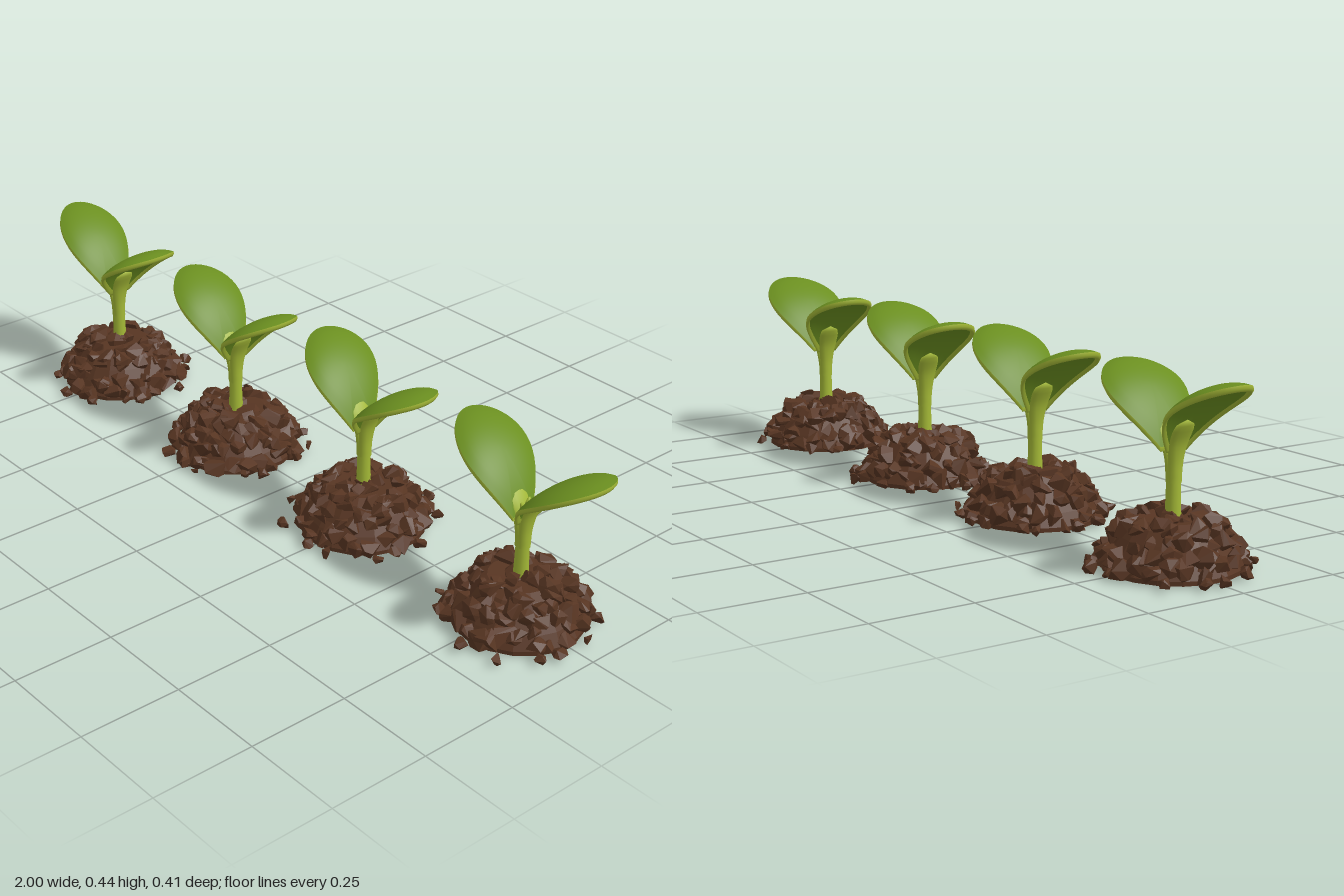
import * as THREE from 'three';
import { mergeGeometries, mergeVertices } from 'three/addons/utils/BufferGeometryUtils.js';
import { ConvexGeometry } from 'three/addons/geometries/ConvexGeometry.js';

const V = (x, y, z) => new THREE.Vector3(x, y, z);

function makeRandom(seed) {
  return () => (seed = (seed * 16807) % 2147483647) / 2147483647;
}

// Smooth surface from a rule f(u, v) sampled on a grid
function surface(f, nu, nv) {
  const pos = [], index = [];
  for (let i = 0; i <= nu; i++) {
    for (let j = 0; j <= nv; j++) {
      const p = f(i / nu, j / nv);
      pos.push(p.x, p.y, p.z);
      if (i < nu && j < nv) {
        const a = i * (nv + 1) + j, b = a + nv + 1;
        index.push(a, b, a + 1, b, b + 1, a + 1);
      }
    }
  }
  let g = new THREE.BufferGeometry();
  g.setAttribute('position', new THREE.Float32BufferAttribute(pos, 3));
  g.setIndex(index);
  g = mergeVertices(g, 1e-5);
  g.computeVertexNormals();
  return g;
}

function addMesh(parent, name, geometry, material) {
  const m = new THREE.Mesh(geometry, material);
  m.name = name;
  parent.add(m);
}

// Domed leaf with a thick pale rim, on a flaring stalk; side is +1 or -1
function makeLeaf({ side, length, tipY, midZ, width }, mats) {
  const leaf = new THREE.Group();
  leaf.name = side > 0 ? 'leftLeaf' : 'rightLeaf';
  const spine = new THREE.QuadraticBezierCurve3(
    V(0.006 * side, 0.275, 0), V(0.078 * side, 0.432, midZ * 0.8), V(length * side, tipY, midZ * 1.5));
  const halfWidth = t => width * (0.3 + 2.1 * t - 1.35 * t * t) * Math.sqrt(Math.max(0, 1 - t ** 4));

  // r runs from the middle of the blade to its outline, a runs around it
  const blade = (r, a, drop) => {
    const edgeT = (1 - Math.cos(a * 2 * Math.PI)) / 2;
    const sign = a === 0 || a === 1 ? 0 : a < 0.5 ? 1 : -1;
    const t = 0.5 + (edgeT - 0.5) * r, w = sign * halfWidth(edgeT) * r;
    const p = spine.getPoint(t);
    p.y -= 0.02 * (w / width) ** 2 + drop;
    p.z += w;
    return p;
  };
  addMesh(leaf, 'leafTop', surface((r, a) => blade(r, a, 0.006 * r ** 6), 8, 48), mats.leaf);
  addMesh(leaf, 'leafUnderside', surface((r, a) => blade(r * 0.88, a, 0.01 + 0.006 * r ** 4), 8, 48), mats.leaf);
  const rim = [[0.88, 0.016], [0.93, 0.021], [0.98, 0.02], [1.01, 0.013], [1, 0.006]];
  addMesh(leaf, 'leafRim', surface((u, a) => {
    const [r, drop] = rim[Math.round(u * 4)];
    return blade(r, a, drop);
  }, 4, 48), mats.stem);

  // Stalk widening under the base of the blade, then rounding off into it
  const under = t => spine.getPoint(t).add(V(0, -0.014, 0));
  const path = new THREE.CatmullRomCurve3(
    [V(0.003 * side, 0.19, 0), V(0.006 * side, 0.24, 0), under(0.08), under(0.27)]);
  addMesh(leaf, 'leafStalk', surface((u, v) => {
    const p = path.getPoint(u), tan = path.getTangent(u), a = v * 2 * Math.PI;
    const taper = Math.sqrt(1 - u ** 5);
    const thick = (0.015 - 0.006 * u) * taper * Math.cos(a);
    const wide = (0.016 + 0.03 * u * u) * taper * Math.sin(a);
    return p.add(V(tan.y * thick, -tan.x * thick, wide));
  }, 12, 14), mats.stem);
  return leaf;
}

// One angular clod with its underside cut flat at the ground
function makeClod(x, y, z, size, rand) {
  const points = [];
  for (let i = 0; i < 12; i++) {
    const h = rand() * 2 - 1, a = rand() * 2 * Math.PI, s = Math.sqrt(1 - h * h);
    points.push(V(s * Math.cos(a), h * 0.9, s * Math.sin(a)).multiplyScalar(size));
  }
  const g = new ConvexGeometry(points);
  g.translate(x, y, z);
  const p = g.attributes.position;
  for (let i = 0; i < p.count; i++) p.setY(i, Math.max(0, p.getY(i)));
  g.computeVertexNormals();
  return g;
}

// Heap of clods over a solid core, with loose clods around it
function makeSoil(seed, mats) {
  const rand = makeRandom(seed);
  const soil = new THREE.Group();
  soil.name = 'soilMound';
  const profile = [[0.156, 0.012], [0.14, 0.042], [0.118, 0.075], [0.098, 0.102], [0.075, 0.113], [0, 0.11]];
  const core = new THREE.LatheGeometry(
    [[0, 0.002], [0.156, 0.002], ...profile].map(([r, y]) => new THREE.Vector2(r, y)), 18).toNonIndexed();
  core.computeVertexNormals();
  addMesh(soil, 'soilCore', core, mats.soil);

  const clods = [];
  [28, 24, 20, 14, 10].forEach((count, k) => {
    const [r0, y0] = profile[k], [r1, y1] = profile[k + 1];
    for (let i = 0; i < count; i++) {
      const f = rand(), a = (i + rand() * 0.8) / count * 2 * Math.PI;
      const r = r0 + (r1 - r0) * f;
      clods.push(makeClod(r * Math.cos(a), y0 + (y1 - y0) * f, r * Math.sin(a), 0.021 + 0.014 * rand(), rand));
    }
  });
  addMesh(soil, 'soilClods', mergeGeometries(clods), mats.soil);

  const loose = [];
  for (let i = 0; i < 13; i++) {
    const a = (i + rand() * 0.8) / 13 * 2 * Math.PI, r = 0.172 + 0.023 * rand();
    loose.push(makeClod(r * Math.cos(a), 0.015, r * Math.sin(a), 0.014 + 0.006 * rand(), rand));
  }
  addMesh(soil, 'looseClods', mergeGeometries(loose), mats.soil);
  return soil;
}

function makeSprout(spec, i, mats) {
  const sprout = new THREE.Group();
  sprout.name = 'sprout' + (i + 1);
  sprout.position.x = spec.x;
  sprout.add(makeSoil(101 + i * 7919, mats));

  const stem = [[0.019, 0.1], [0.017, 0.15], [0.016, 0.2], [0.017, 0.25], [0.01, 0.285], [0, 0.29]];
  addMesh(sprout, 'stem', new THREE.LatheGeometry(stem.map(p => new THREE.Vector2(...p)), 12), mats.stem);

  // Tiny new shoots in the fork
  for (const s of [-1, 1]) {
    const bud = new THREE.SphereGeometry(1, 8, 6).scale(0.005, 0.018, 0.007);
    bud.rotateX(s * 0.4).translate(s * 0.003, 0.291, s * 0.01);
    addMesh(sprout, 'bud', bud, mats.stem);
  }
  spec.leaves.forEach(([length, tipY, midZ, width], k) =>
    sprout.add(makeLeaf({ side: k ? 1 : -1, length, tipY, midZ, width }, mats)));
  return sprout;
}

export function createModel() {
  const make = (name, color) => {
    const m = new THREE.MeshStandardMaterial({ color, side: THREE.DoubleSide });
    m.name = name;
    return m;
  };
  const mats = {
    leaf: make('leaf green', 0x6b8f20),
    stem: make('pale stem green', 0xa3b836),
    soil: make('brown soil', 0x573522),
  };
  // Each leaf: length, tip height, sideways drift, half width
  const specs = [
    { x: -0.765, leaves: [[0.235, 0.445, -0.015, 0.09], [0.205, 0.437, 0.008, 0.103]] },
    { x: -0.248, leaves: [[0.223, 0.437, -0.013, 0.092], [0.21, 0.443, 0.012, 0.101]] },
    { x: 0.247, leaves: [[0.217, 0.438, -0.03, 0.096], [0.223, 0.438, 0.014, 0.102]] },
    { x: 0.773, leaves: [[0.227, 0.437, -0.024, 0.093], [0.227, 0.446, 0.004, 0.105]] },
  ];
  const model = new THREE.Group();
  model.name = 'seedlings';
  specs.forEach((spec, i) => model.add(makeSprout(spec, i, mats)));
  return model;
}
